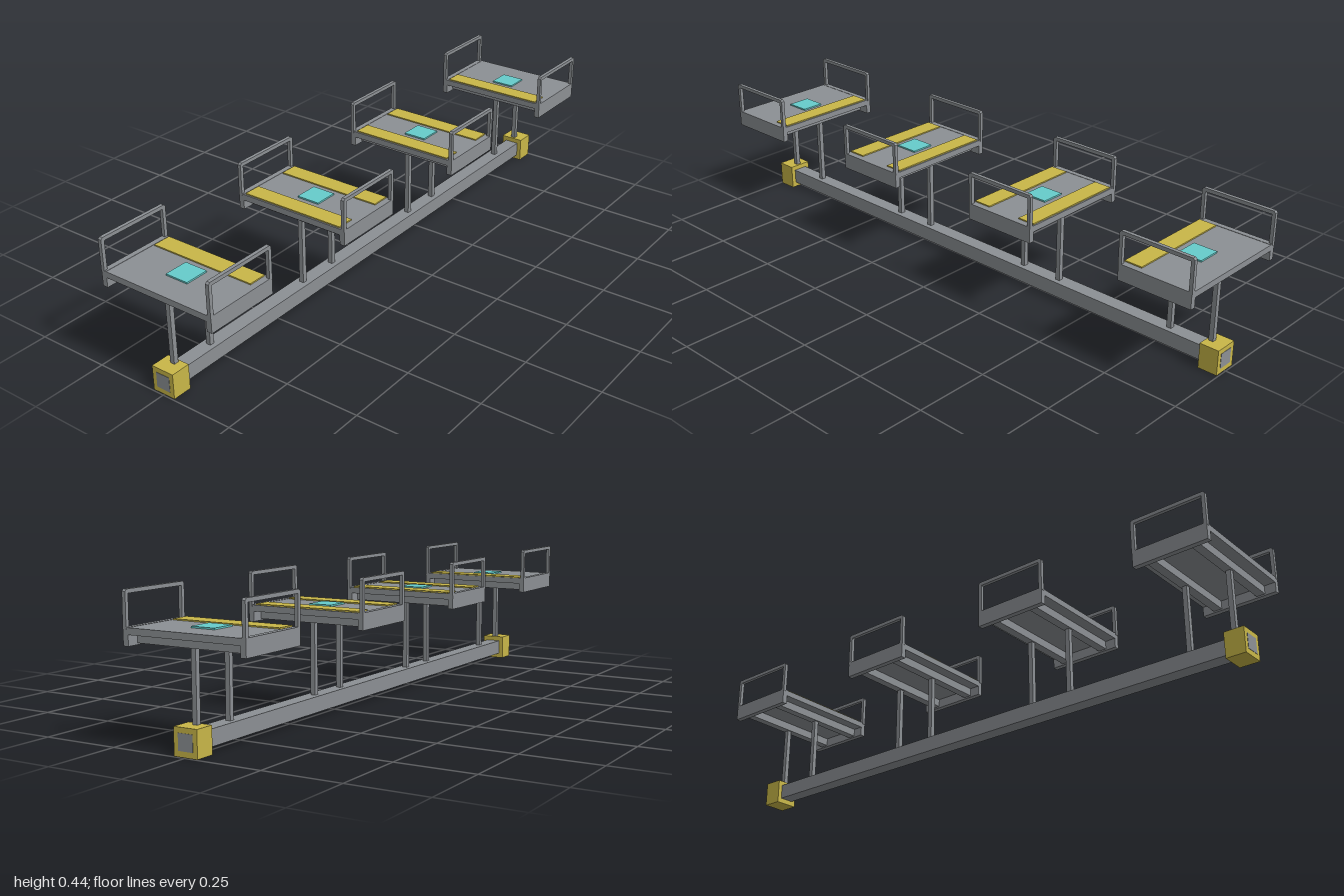
import * as THREE from 'three';

export function createModel() {
  const paint = (name, color) => {
    const m = new THREE.MeshStandardMaterial({ color });
    m.name = name;
    return m;
  };
  const steel = paint('steel grey', 0x8c9094);
  const gold = paint('safety yellow', 0xc9b748);
  const teal = paint('teal', 0x66cccb);

  // Box given by its extents on each axis
  const box = (parent, name, mat, [x0, x1], [y0, y1], [z0, z1]) => {
    const mesh = new THREE.Mesh(new THREE.BoxGeometry(x1 - x0, y1 - y0, z1 - z0), mat);
    mesh.position.set((x0 + x1) / 2, (y0 + y1) / 2, (z0 + z1) / 2);
    mesh.name = name;
    parent.add(mesh);
    return mesh;
  };

  // Hooped guard rail with clipped corners, extruded across its thickness
  const railGeometry = () => {
    const outline = (path, w, y0, y1, c) => {
      path.moveTo(-w, y0);
      path.lineTo(w, y0);
      path.lineTo(w, y1 - c);
      path.lineTo(w - c, y1);
      path.lineTo(-w + c, y1);
      path.lineTo(-w, y1 - c);
      path.closePath();
    };
    const t = 0.012, w = 0.126;
    const shape = new THREE.Shape();
    shape.moveTo(-w, 0.335);
    [[-w, 0.439], [-w + 0.006, 0.445], [w - 0.006, 0.445], [w, 0.439], [w, 0.335],
      [w - t, 0.335], [w - t, 0.433], [-w + t, 0.433], [-w + t, 0.335]]
      .forEach(([x, y]) => shape.lineTo(x, y));
    shape.closePath();
    return new THREE.ExtrudeGeometry(shape, { depth: t, bevelEnabled: false })
      .translate(0, 0, -t / 2).rotateY(Math.PI / 2);
  };
  const railGeo = railGeometry();

  const root = new THREE.Group();
  root.name = 'platformRow';

  // Ground beam with yellow end blocks; the beam ends just show through
  box(root, 'groundBeam', steel, [-0.025, 0.025], [0.017, 0.067], [-0.996, 0.996]);
  for (const s of [-1, 1]) {
    const block = box(root, 'endBlock', gold, [-0.04, 0.04], [0, 0.083], [-0.0325, 0.0325]);
    block.position.z = s * 0.9625;
  }

  // Four raised platforms; edges lists the sides that carry a yellow strip
  const platforms = [
    { z: 0.872, edges: [-1] },
    { z: 0.291, edges: [-1, 1] },
    { z: -0.291, edges: [-1, 1] },
    { z: -0.872, edges: [1] },
  ];
  for (const { z, edges } of platforms) {
    const p = new THREE.Group();
    p.name = 'platform';
    p.position.z = z;
    root.add(p);

    box(p, 'deck', steel, [-0.2, 0.2], [0.32, 0.34], [-0.125, 0.125]);
    box(p, 'targetPad', teal, [-0.04, 0.04], [0.34, 0.345], [-0.04, 0.04]);
    for (const e of edges) {
      box(p, 'edgeStrip', gold, [-0.184, 0.184], [0.34, 0.344], [-0.03, 0.03]).position.z = e * 0.09;
    }
    for (const s of [-1, 1]) {
      box(p, 'sideBeam', steel, [-0.009, 0.009], [0.288, 0.341], [-0.125, 0.125]).position.x = s * 0.198;
      const rail = new THREE.Mesh(railGeo, steel);
      rail.name = 'guardRail';
      rail.position.x = s * 0.201;
      p.add(rail);
      box(p, 'crossBeam', steel, [-0.19, 0.19], [0.293, 0.321], [-0.014, 0.014]).position.z = s * 0.074;
      box(p, 'post', steel, [-0.008, 0.008], [0.06, 0.294], [-0.008, 0.008]).position.z = s * 0.074;
    }
  }
  return root;
}
